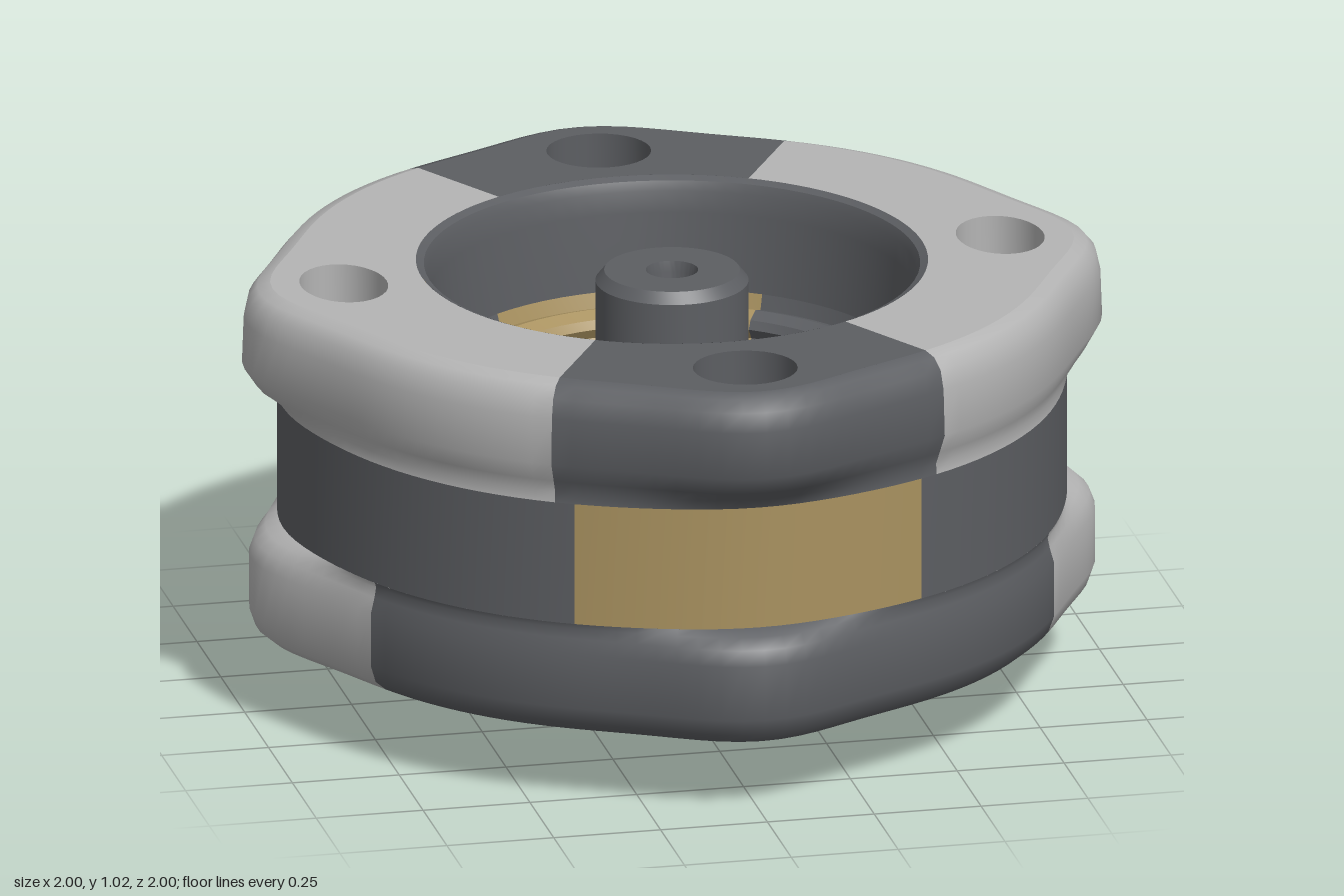
import * as THREE from 'three';
import { toCreasedNormals } from 'three/addons/utils/BufferGeometryUtils.js';

const DARK = 0x5c5e62, LIGHT = 0xb4b4b4, GOLD = 0xa8915f;
const HOLE_AT = 0.768;
const deg = Math.PI / 180;

// Lobe strength: 1 on each of the four axes, falling to 0 between them
function lobe(a) {
  const d = (((a / deg) % 90) + 90) % 90;
  const n = Math.min(d, 90 - d);
  return Math.exp(-((n / 13.5) ** 2));
}
const flangeR = a => 0.92 + 0.08 * lobe(a);
const waistR = a => 0.893 + 0.017 * lobe(a);

function addMesh(group, name, geo, color, crease = 0.6) {
  const mat = new THREE.MeshStandardMaterial({ color, side: THREE.DoubleSide });
  const mesh = new THREE.Mesh(toCreasedNormals(geo, crease), mat);
  mesh.name = name;
  group.add(mesh);
}

// Side wall over an angular range; profile rows are [y, inset, 1 = flange / 0 = waist]
function wall(centre, half, profile) {
  const n = Math.ceil(half / 1.5), pos = [], idx = [], m = profile.length;
  for (let i = 0; i <= n; i++) {
    const a = (centre - half + (2 * half * i) / n) * deg;
    for (const [y, inset, t] of profile) {
      const r = THREE.MathUtils.lerp(waistR(a), flangeR(a), t) - inset;
      pos.push(r * Math.sin(a), y, r * Math.cos(a));
    }
  }
  for (let i = 0; i < n; i++) {
    for (let j = 0; j < m - 1; j++) {
      const a = i * m + j, b = a + m;
      idx.push(a, b, b + 1, a, b + 1, a + 1);
    }
  }
  const geo = new THREE.BufferGeometry();
  geo.setAttribute('position', new THREE.Float32BufferAttribute(pos, 3));
  geo.setIndex(idx);
  return geo;
}

// Ring sector with one bolt hole; up = 1 faces up, -1 faces down
function cap(centre, half, inset, inner, y, up, hole) {
  const pts = [], n = 40;
  const at = (r, a) => new THREE.Vector2(r * Math.sin(a), -up * r * Math.cos(a));
  const angle = i => (centre - half + (2 * half * i) / n) * deg;
  for (let i = 0; i <= n; i++) pts.push(at(flangeR(angle(i)) - inset, angle(i)));
  for (let i = n; i >= 0; i--) pts.push(at(inner, angle(i)));
  const shape = new THREE.Shape(pts);
  const c = at(HOLE_AT, centre * deg);
  const path = new THREE.Path();
  path.absellipse(c.x, c.y, hole[0], hole[1], 0, Math.PI * 2, true);
  shape.holes.push(path);
  const geo = new THREE.ShapeGeometry(shape, 16);
  geo.rotateX((-up * Math.PI) / 2);
  geo.translate(0, y, 0);
  return geo;
}

// Lathe from [radius, y] pairs, over a sector when half is given (degrees)
function lathe(points, centre = 0, half = 180) {
  const pts = points.map(([r, y]) => new THREE.Vector2(r, y));
  return new THREE.LatheGeometry(pts, Math.ceil(half / 2.5), (centre - half) * deg, 2 * half * deg);
}

export function createModel() {
  const g = new THREE.Group();
  g.name = 'flangedHub';

  const upper = [[0.73, 0, 0], [0.755, 0.01, 0.3], [0.785, 0.012, 0.8], [0.83, 0, 1], [0.94, 0.004, 1], [0.985, 0.014, 1], [1.01, 0.035, 1], [1.02, 0.065, 1]];
  const waist = [[0.44, 0, 0], [0.6, 0, 0], [0.73, 0, 0]];
  const lower = [[0.165, 0.095, 1], [0.175, 0.06, 1], [0.2, 0.03, 1], [0.24, 0.016, 1], [0.37, 0.016, 1], [0.405, 0.025, 0.95], [0.428, 0.02, 0.6], [0.44, 0, 0]];

  // Stepped bore wall with winding ridges
  const bore = [[0.54, 0.76], [0.53, 0.725], [0.5, 0.735], [0.47, 0.72]];
  for (let i = 0; i < 6; i++) bore.push([0.46, 0.7 - i * 0.05], [0.475, 0.675 - i * 0.05]);
  bore.push([0.46, 0.4]);

  // Four sectors: front, left, back, right
  for (let k = 0; k < 4; k++) {
    const c = k * 90, side = k % 2 === 1;
    const main = side ? LIGHT : DARK;
    const topHalf = side ? 60 : 30, lowHalf = side ? 28 : 62;
    const hole = side ? [0.1, 0.133] : [0.12, 0.118];
    addMesh(g, 'upperFlangeRim', wall(c, topHalf, upper), main, 1.2);
    addMesh(g, 'upperFlangeFace', cap(c, topHalf, 0.065, 0.585, 1.02, 1, hole), main);
    addMesh(g, 'lowerFlangeRim', wall(c, lowHalf, lower), main, 1.2);
    addMesh(g, 'lowerFlangeFace', cap(c, lowHalf, 0.095, 0.62, 0.165, -1, hole), main);
    addMesh(g, side ? 'waistWall' : 'windowPanel', wall(c, side ? 63 : 27, waist), side ? DARK : GOLD, 1.2);
    addMesh(g, 'boreWall', lathe(bore, c, side ? 55 : 35), side ? DARK : GOLD);

    // Bolt hole lining
    const lining = new THREE.CylinderGeometry(1, 1, 0.855, 32, 1, true);
    lining.scale(hole[0], 1, hole[1]);
    lining.translate(HOLE_AT * Math.sin(c * deg), 0.5925, HOLE_AT * Math.cos(c * deg));
    addMesh(g, 'boltHole', lining, main);
  }

  // Bore lip and floor
  addMesh(g, 'boreLip', lathe([[0.585, 1.02], [0.567, 1.012], [0.558, 0.99], [0.553, 0.94], [0.54, 0.76]]), DARK);
  addMesh(g, 'boreFloor', lathe([[0.46, 0.4], [0.16, 0.4]]), DARK);

  // Hollow centre post with its collar
  addMesh(g, 'centrePost', lathe([[0.175, 0.4], [0.175, 0.97], [0.155, 0.995], [0.06, 0.995], [0.055, 0.97], [0.055, 0.03]]), DARK);
  addMesh(g, 'postCollar', lathe([[0.25, 0.4], [0.25, 0.49], [0.235, 0.51], [0.17, 0.51]]), GOLD);

  // Domed underside and its off-centre pad
  addMesh(g, 'underside', lathe([[0.055, 0.03], [0.075, 0.02], [0.25, 0.025], [0.3, 0.035], [0.4, 0.045], [0.48, 0.07], [0.57, 0.11], [0.62, 0.135], [0.65, 0.166]]), DARK, 1);
  const pad = new THREE.SphereGeometry(1, 24, 12);
  pad.scale(0.16, 0.055, 0.12);
  pad.translate(0.06, 0.055, -0.38);
  addMesh(g, 'undersidePad', pad, DARK, 1.5);

  return g;
}
